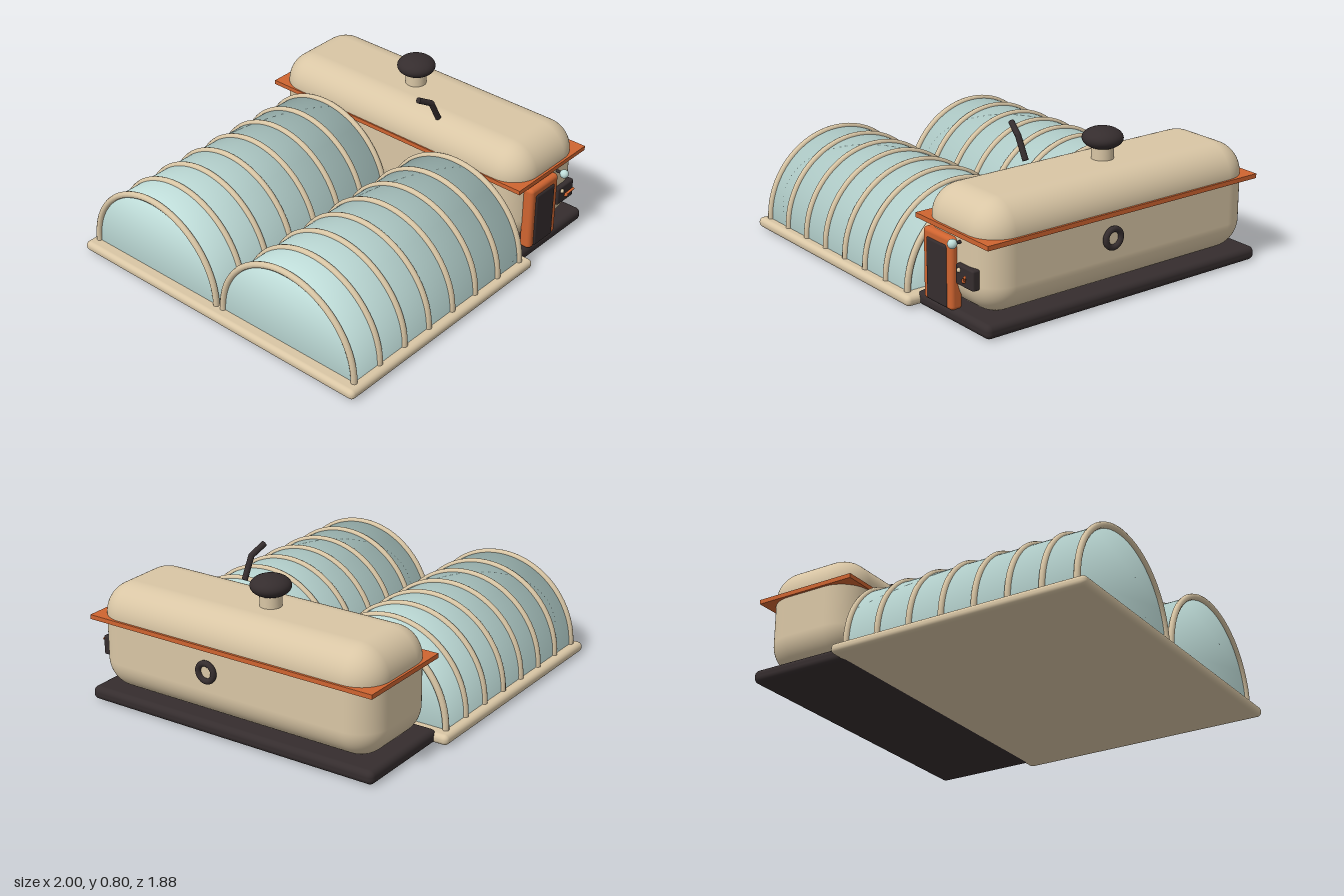
import * as THREE from 'three';
import { mergeVertices } from 'three/addons/utils/BufferGeometryUtils.js';
import { RoundedBoxGeometry } from 'three/addons/geometries/RoundedBoxGeometry.js';

function material(name, color) {
  const m = new THREE.MeshStandardMaterial({ color });
  m.name = name;
  return m;
}

// Half-round tunnel along x, softly shaded across its closed ends
function tunnelGeometry(radius, x0, x1) {
  const shape = new THREE.Shape();
  shape.moveTo(radius, 0);
  shape.absarc(0, 0, radius, 0, Math.PI, false);
  shape.closePath();
  let geo = new THREE.ExtrudeGeometry(shape, { depth: x1 - x0, bevelEnabled: false, curveSegments: 28 });
  geo.rotateY(Math.PI / 2);
  geo.translate(x0, 0, 0);
  geo.deleteAttribute('normal');
  geo.deleteAttribute('uv');
  geo = mergeVertices(geo, 1e-4);
  geo.computeVertexNormals();
  const pos = geo.attributes.position, nor = geo.attributes.normal;
  const mid = (x0 + x1) / 2;
  const n = new THREE.Vector3();
  for (let i = 0; i < pos.count; i++) {
    n.set(Math.sign(pos.getX(i) - mid), pos.getY(i) / radius, pos.getZ(i) / radius).normalize();
    nor.setXYZ(i, n.x, n.y, n.z);
  }
  return geo;
}

export function createModel() {
  const model = new THREE.Group();
  model.name = 'greenhouseStation';
  const cream = material('cream', 0xd9c6a5);
  const orange = material('orange', 0xcf6430);
  const dark = material('charcoal', 0x352d2e);
  const glass = material('paleGlass', 0xc0deda);

  const add = (name, geo, mat, x = 0, y = 0, z = 0, parent = model) => {
    const mesh = new THREE.Mesh(geo, mat);
    mesh.name = name;
    mesh.position.set(x, y, z);
    parent.add(mesh);
    return mesh;
  };
  // Rounded box given by its limits
  const block = (name, mat, [x0, x1], [y0, y1], [z0, z1], r, seg = 4) =>
    add(name, new RoundedBoxGeometry(x1 - x0, y1 - y0, z1 - z0, seg, r), mat,
      (x0 + x1) / 2, (y0 + y1) / 2, (z0 + z1) / 2);
  // Round bar between two points
  const bar = (name, mat, a, b, r) => {
    const p = new THREE.Vector3(...a), q = new THREE.Vector3(...b);
    const mesh = add(name, new THREE.CylinderGeometry(r, r, p.distanceTo(q), 16), mat);
    mesh.position.copy(p).add(q).multiplyScalar(0.5);
    mesh.quaternion.setFromUnitVectors(new THREE.Vector3(0, 1, 0), q.sub(p).normalize());
    return mesh;
  };

  // Base slabs
  block('greenhouseBase', cream, [-1, 0.44], [0.005, 0.06], [-0.94, 0.94], 0.025);
  block('houseBase', dark, [0.4, 0.985], [0, 0.072], [-0.865, 0.865], 0.03);

  // Two glazed tunnels with eight hoops each
  const radius = 0.435, x0 = -0.933, x1 = 0.373, hoops = 8;
  const tunnel = tunnelGeometry(radius, x0, x1);
  const hoop = new THREE.TorusGeometry(radius, 0.017, 10, 40, Math.PI);
  hoop.rotateY(Math.PI / 2);
  for (const side of [-1, 1]) {
    const group = new THREE.Group();
    group.name = side > 0 ? 'frontTunnel' : 'backTunnel';
    group.position.set(0, 0.062, side * 0.459);
    model.add(group);
    add('tunnelGlass', tunnel, glass, 0, 0, 0, group);
    for (let i = 0; i < hoops; i++) {
      add('hoop', hoop, cream, x0 + (x1 - x0) * i / (hoops - 1), 0, 0, group);
    }
  }

  // House body and its trim band
  block('houseBody', cream, [0.404, 0.964], [0.065, 0.635], [-0.843, 0.843], 0.162, 10);
  add('trimBand', new THREE.BoxGeometry(0.58, 0.024, 1.712), orange, 0.686, 0.457, 0);

  // Roof vent
  add('ventNeck', new THREE.CylinderGeometry(0.057, 0.057, 0.09, 32), cream, 0.684, 0.66, -0.07);
  const cap = add('ventCap', new THREE.SphereGeometry(0.104, 36, 20), dark, 0.684, 0.74, -0.07);
  cap.scale.y = 0.53;

  // Bent roof pipe
  const pipeBend = [0.417, 0.745, 0.25];
  bar('pipeLower', dark, [0.478, 0.63, 0.25], pipeBend, 0.016);
  bar('pipeUpper', dark, pipeBend, [0.335, 0.79, 0.228], 0.016);
  add('pipeElbow', new THREE.SphereGeometry(0.016, 16, 10), dark, ...pipeBend);

  // Door with bell lamp
  block('doorFrame', orange, [0.483, 0.717], [0.064, 0.432], [0.81, 0.877], 0.02);
  block('doorPanel', dark, [0.515, 0.682], [0.07, 0.392], [0.84, 0.884], 0.016);
  add('doorLamp', new THREE.SphereGeometry(0.024, 20, 14), glass, 0.745, 0.42, 0.89);
  bar('lampStem', dark, [0.745, 0.42, 0.83], [0.745, 0.42, 0.875], 0.008);

  // Control box with button and lever
  block('controlBox', dark, [0.735, 0.876], [0.213, 0.317], [0.825, 0.868], 0.01);
  add('button', new THREE.SphereGeometry(0.012, 14, 10), cream, 0.768, 0.292, 0.87);
  add('leverPivot', new THREE.SphereGeometry(0.012, 14, 10), orange, 0.807, 0.25, 0.87);
  bar('lever', orange, [0.807, 0.25, 0.868], [0.845, 0.285, 0.893], 0.007);

  // Round porthole on the outer wall
  const ring = add('portholeRing', new THREE.TorusGeometry(0.047, 0.0155, 12, 36), dark, 0.9845, 0.341, 0.108);
  ring.rotation.y = Math.PI / 2;
  const pane = add('portholePane', new THREE.CylinderGeometry(0.045, 0.045, 0.025, 32), cream, 0.968, 0.341, 0.108);
  pane.rotation.z = Math.PI / 2;

  return model;
}
